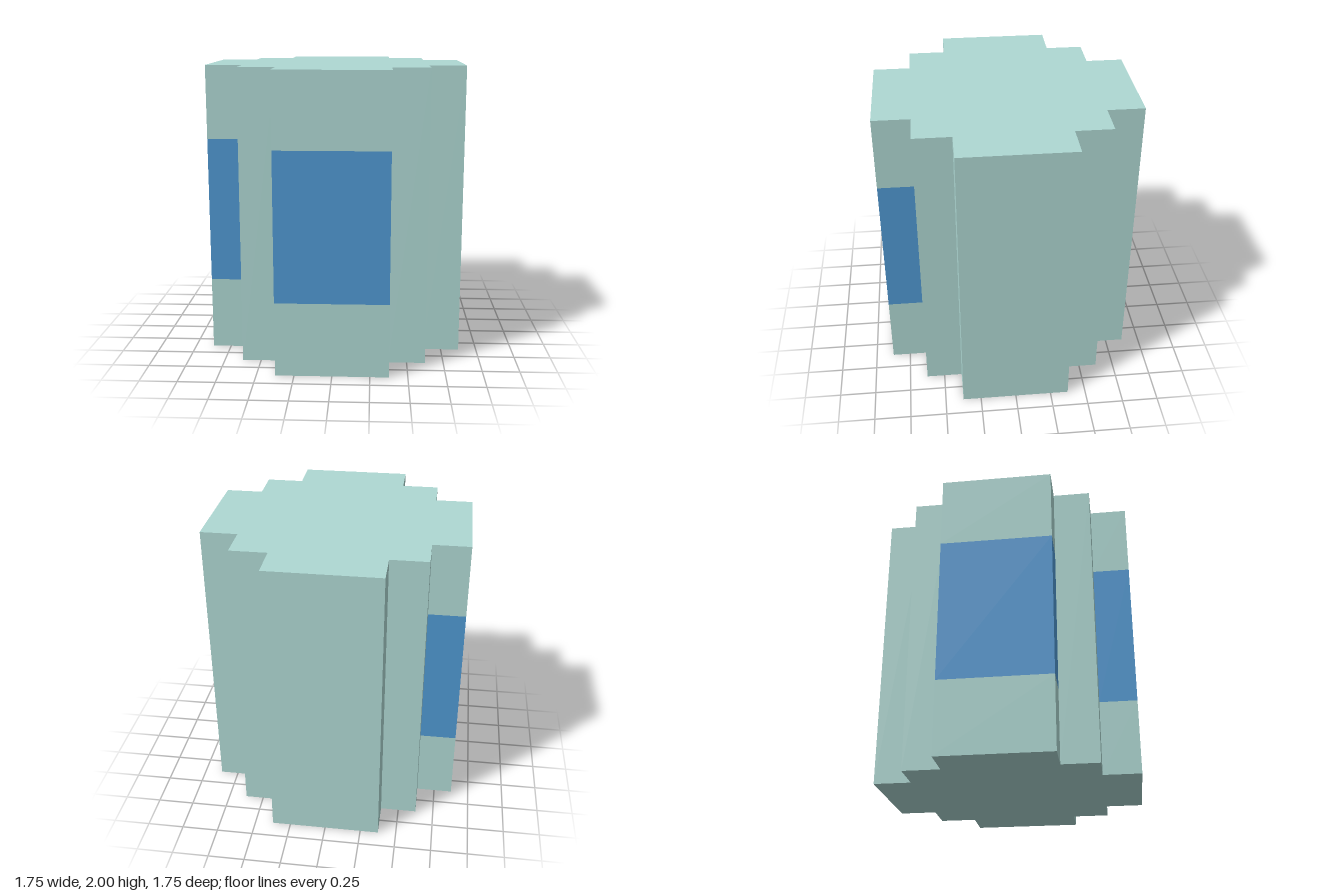
import * as THREE from 'three';
import { mergeGeometries } from 'three/addons/utils/BufferGeometryUtils.js';

const HEIGHT = 2, BAND_BOTTOM = 0.5, BAND_TOP = 1.5;
const ARM = 0.875, STEP = 0.625, HALF = 0.375;

// Stepped cross plan: one quarter turned four times, as (x, z) points
function planPoints() {
  let quarter = [[ARM, HALF], [STEP, HALF], [STEP, STEP], [HALF, STEP], [HALF, ARM]];
  const points = [];
  for (let i = 0; i < 4; i++) {
    points.push(...quarter);
    quarter = quarter.map(([x, z]) => [-z, x]);
  }
  return points.map(([x, z]) => new THREE.Vector2(x, z));
}

// Upright outward-facing wall between two plan points
function wall(a, b, y0, y1) {
  const g = new THREE.PlaneGeometry(a.distanceTo(b), y1 - y0);
  g.rotateY(Math.atan2(b.y - a.y, a.x - b.x));
  return g.translate((a.x + b.x) / 2, (y0 + y1) / 2, (a.y + b.y) / 2);
}

const onFrontArm = (p) => p.y >= STEP && Math.abs(p.x) <= HALF;
const onRightArm = (p) => p.x <= -STEP && Math.abs(p.y) <= HALF;

export function createModel() {
  const group = new THREE.Group();
  const points = planPoints();
  const body = [], frontBand = [], rightBand = [];

  // Walls, split in three where an arm carries a blue band
  points.forEach((a, i) => {
    const b = points[(i + 1) % points.length];
    const front = onFrontArm(a) && onFrontArm(b);
    const right = onRightArm(a) && onRightArm(b);
    if (!front && !right) {
      body.push(wall(a, b, 0, HEIGHT));
      return;
    }
    body.push(wall(a, b, 0, BAND_BOTTOM), wall(a, b, BAND_TOP, HEIGHT));
    (front ? frontBand : rightBand).push(wall(a, b, BAND_BOTTOM, BAND_TOP));
  });

  // Top and bottom caps
  const plan = new THREE.Shape(points);
  body.push(
    new THREE.ShapeGeometry(plan).rotateX(-Math.PI / 2).translate(0, HEIGHT, 0),
    new THREE.ShapeGeometry(plan).rotateX(Math.PI / 2),
  );

  const teal = new THREE.MeshStandardMaterial({ color: 0xaed8d3 });
  const blue = new THREE.MeshStandardMaterial({ color: 0x4f98d2 });
  const add = (name, parts, material) => {
    const mesh = new THREE.Mesh(mergeGeometries(parts), material);
    mesh.name = name;
    group.add(mesh);
  };
  add('columnBody', body, teal);
  add('frontBand', frontBand, blue);
  add('rightBand', rightBand, blue);
  group.name = 'steppedColumn';
  return group;
}
